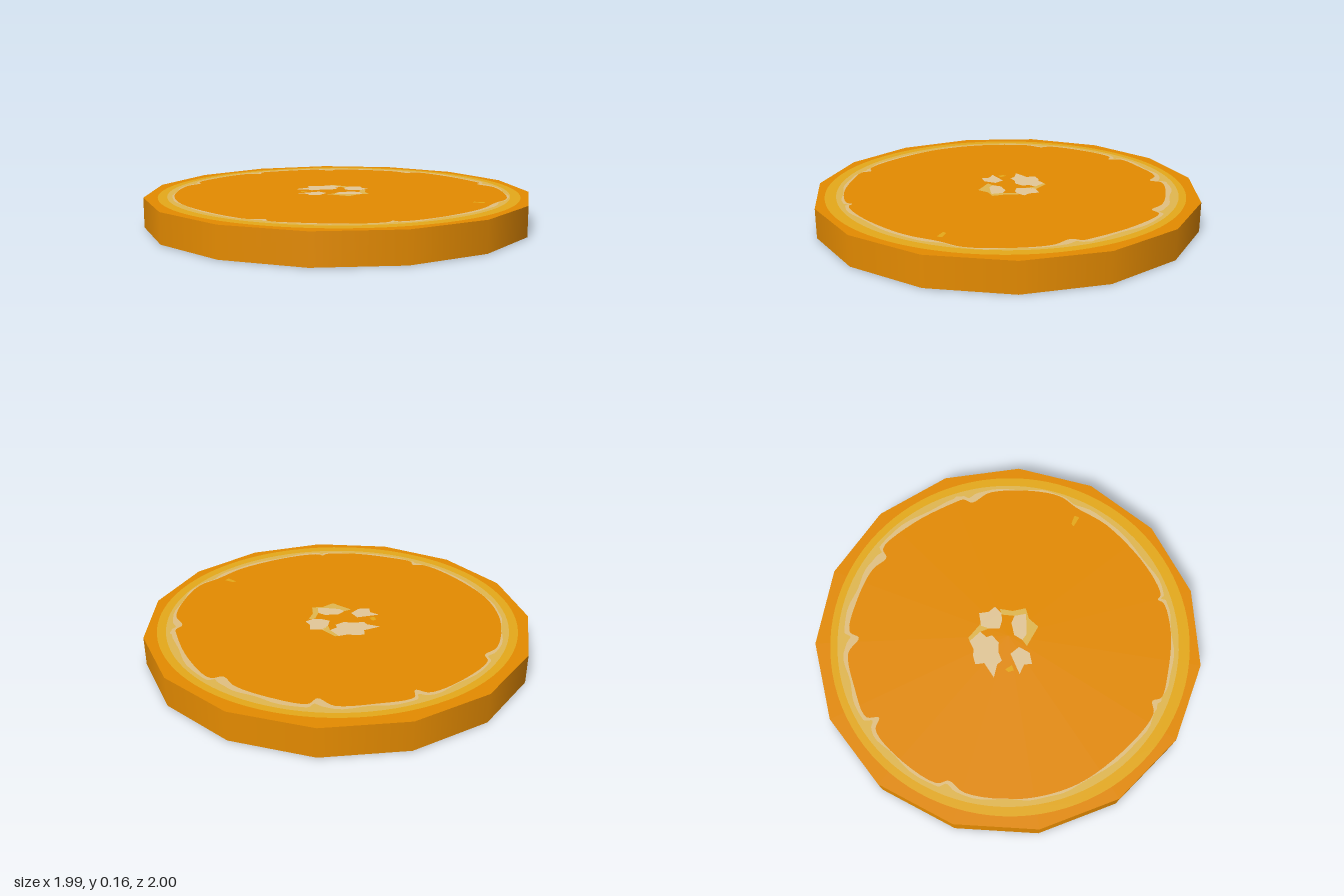
import * as THREE from 'three';

const HEIGHT = 0.157, GAP = 0.0015, CENTRE_X = -0.011;

function material(name, color) {
  const m = new THREE.MeshStandardMaterial({ color });
  m.name = name;
  return m;
}

// Flat points from [x, z] pairs; the shape's y axis is minus z
const flat = pairs => pairs.map(([x, z]) => new THREE.Vector2(x, -z));

// Closed circle outline
function circle(radius, cx, cz) {
  return Array.from({ length: 96 }, (_, i) => {
    const t = (i / 96) * Math.PI * 2;
    return new THREE.Vector2(cx + radius * Math.cos(t), -(cz + radius * Math.sin(t)));
  });
}

// Inner edge of the pith, with small points where the segment walls meet it
const pithEdge = [
  [0.83, 0], [0.83, 0.05], [0.795, 0.09], [0.82, 0.2], [0.75, 0.42], [0.66, 0.56], [0.56, 0.62], [0.4, 0.735],
  [0.1, 0.835], [-0.08, 0.84], [-0.1, 0.815], [-0.13, 0.835], [-0.3, 0.8], [-0.5, 0.69], [-0.6, 0.61], [-0.6, 0.56],
  [-0.66, 0.54], [-0.75, 0.4], [-0.85, 0.1], [-0.855, -0.1], [-0.81, -0.29], [-0.7, -0.49], [-0.62, -0.54], [-0.61, -0.6],
  [-0.42, -0.74], [-0.25, -0.8], [-0.195, -0.765], [-0.17, -0.825], [0, -0.835], [0.19, -0.81], [0.25, -0.735],
  [0.3, -0.77], [0.46, -0.68], [0.6, -0.55], [0.64, -0.46], [0.7, -0.46], [0.79, -0.25],
];

export function createModel() {
  const orange = material('orange peel', 0xe58b00);
  const yellow = material('yellow rind', 0xe6aa1a);
  const tan = material('pale pith', 0xe2b850);
  const warm = material('warm pith', 0xe2c182);
  const cream = material('cream core', 0xe4c898);

  const model = new THREE.Group();
  model.name = 'citrusSlice';

  // Fifteen-sided slice with a smooth rim and flat faces
  const slice = new THREE.Mesh(new THREE.CylinderGeometry(1.0055, 1.0055, HEIGHT - 2 * GAP, 15, 1, false, Math.PI / 2), orange);
  slice.name = 'sliceBody';
  slice.position.set(CENTRE_X, HEIGHT / 2, 0);
  model.add(slice);

  // Nested rings of rind and pith, from outside inward
  const curve = new THREE.CatmullRomCurve3(pithEdge.map(([x, z]) => new THREE.Vector3(x, -z, 0)), true);
  const inner = curve.getPoints(180).slice(0, -1).map(p => new THREE.Vector2(p.x, p.y));
  const middle = inner.map((p, i) => p.clone().setLength(p.length() * 0.5 + 0.438 + 0.006 * Math.sin(i * 0.628) + 0.004 * Math.sin(i * 1.27)));
  const edges = [circle(0.937, -0.01, 0.01), circle(0.89, -0.008, 0), middle, inner];
  const rings = [['rindRing', yellow], ['pithRing', tan], ['innerPithRing', warm]];

  // Irregular patches as [x, z] pairs
  const patches = [
    ['coreTop', cream, [[-0.2, -0.15], [-0.11, -0.17], [-0.1, -0.215], [-0.05, -0.21], [-0.02, -0.195], [0.03, -0.2],
      [0.06, -0.13], [0.02, -0.11], [0.02, -0.08], [-0.03, -0.06], [-0.08, -0.08], [-0.13, -0.08], [-0.14, -0.11]]],
    ['coreRight', cream, [[0.06, -0.08], [0.09, -0.115], [0.16, -0.1], [0.15, -0.05], [0.165, -0.01], [0.12, 0.01], [0.08, 0], [0.04, -0.03]]],
    ['coreBottom', cream, [[-0.06, 0.06], [-0.02, 0.03], [0.05, 0.04], [0.08, 0.07], [0.07, 0.13], [0.01, 0.11], [-0.04, 0.09]]],
    ['coreLeft', cream, [[-0.23, -0.02], [-0.11, -0.025], [-0.09, 0.03], [-0.14, 0.07], [-0.2, 0.06], [-0.19, 0.02]]],
    ['coreEdgeBottom', tan, [[-0.1, 0.07], [-0.06, 0.06], [-0.04, 0.09], [0.01, 0.11], [0.07, 0.13], [0.08, 0.07],
      [0.11, 0.01], [0.145, 0.01], [0.11, 0.07], [0.1, 0.14], [0.04, 0.135], [-0.02, 0.165]]],
    ['coreEdgeTop', tan, [[0.03, -0.2], [0.05, -0.2], [0.1, -0.115], [0.06, -0.08], [0.06, -0.13]]],
    ['coreFleck', yellow, [[-0.2, -0.07], [-0.18, -0.08], [-0.17, -0.04], [-0.2, -0.04]]],
    ['seedFleck', yellow, [[0.46, 0.56], [0.48, 0.555], [0.52, 0.59], [0.5, 0.61]]],
  ];

  // Markings for one cut face
  function makeFace(name) {
    const face = new THREE.Group();
    face.name = name;
    const addPlate = (label, mat, shape) => {
      const mesh = new THREE.Mesh(new THREE.ShapeGeometry(shape).rotateX(-Math.PI / 2), mat);
      mesh.name = label;
      mesh.position.set(-CENTRE_X, HEIGHT / 2, 0);
      face.add(mesh);
    };
    rings.forEach(([label, mat], i) => {
      const ring = new THREE.Shape(edges[i]);
      ring.holes.push(new THREE.Path(edges[i + 1]));
      addPlate(label, mat, ring);
    });
    for (const [label, mat, pairs] of patches) addPlate(label, mat, new THREE.Shape(flat(pairs)));
    face.position.set(CENTRE_X, HEIGHT / 2, 0);
    model.add(face);
    return face;
  }

  makeFace('topFace');
  // Same face turned over and spun
  makeFace('bottomFace').rotation.set(0, THREE.MathUtils.degToRad(-84), Math.PI);

  return model;
}
